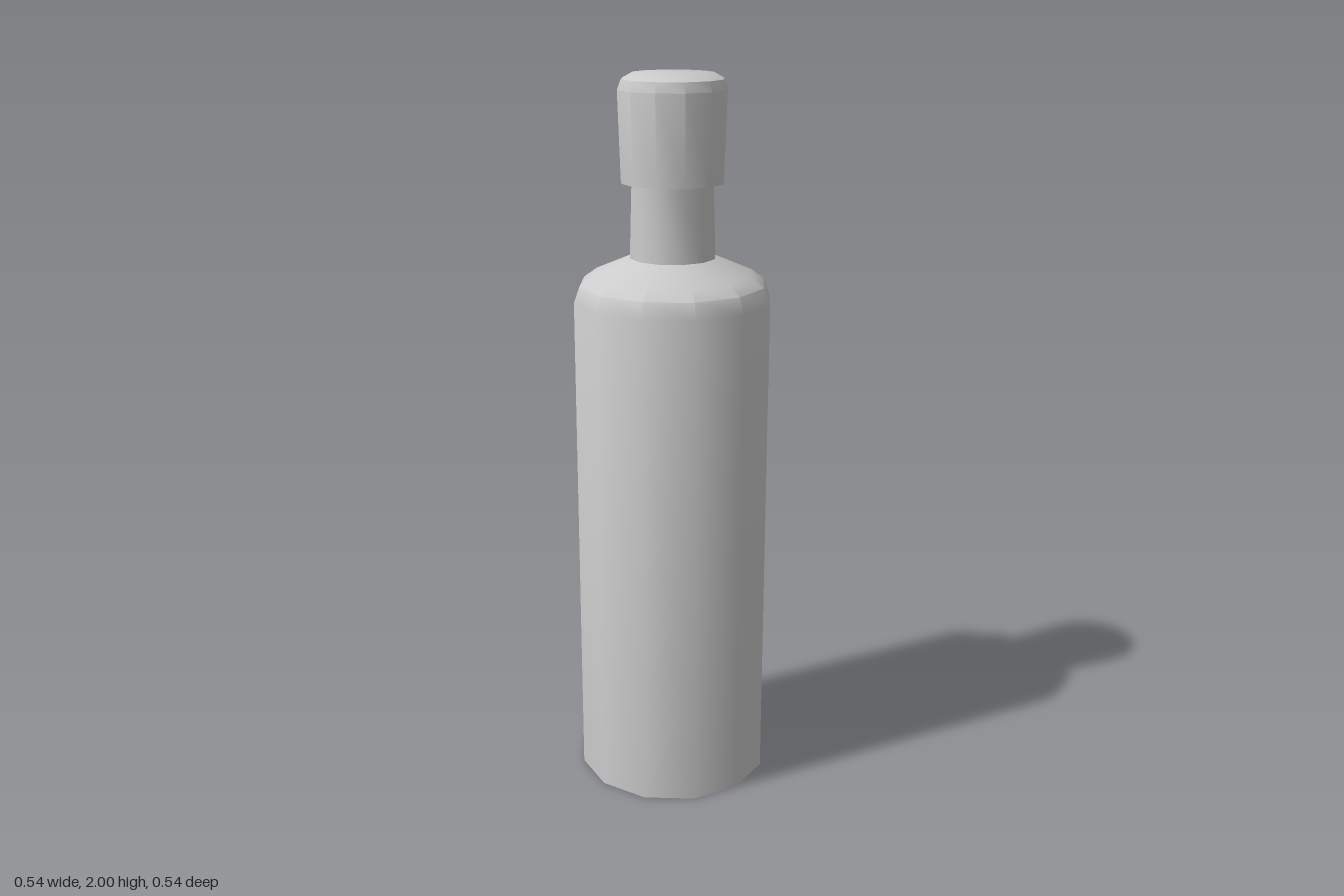
import * as THREE from 'three';
import { toCreasedNormals } from 'three/addons/utils/BufferGeometryUtils.js';

const SIDES = 12;
const material = new THREE.MeshStandardMaterial({ color: 0xcccccc });

// Turn a [radius, height] profile (bottom to top) into a 12-sided part
function turned(name, profile, creaseDegrees = 36) {
  const points = profile.map(([r, y]) => new THREE.Vector2(r, y));
  const lathe = new THREE.LatheGeometry(points, SIDES);
  const geometry = toCreasedNormals(lathe, THREE.MathUtils.degToRad(creaseDegrees));
  const mesh = new THREE.Mesh(geometry, material);
  mesh.name = name;
  return mesh;
}

export function createModel() {
  const group = new THREE.Group();
  group.name = 'bottle';

  // Straight body with flat base and rounded shoulder
  group.add(turned('body', [
    [0, 0], [0.272, 0], [0.272, 1.4], [0.256, 1.445], [0.218, 1.472], [0.118, 1.515],
  ]));

  // Slightly tapered neck
  group.add(turned('neck', [[0.118, 1.515], [0.112, 1.715]]));

  // Flared stopper with bevelled rim and shallow crown
  group.add(turned('stopper', [
    [0.1, 1.715], [0.14, 1.715], [0.148, 1.955], [0.138, 1.982], [0.11, 1.997], [0, 2],
  ]));

  return group;
}
